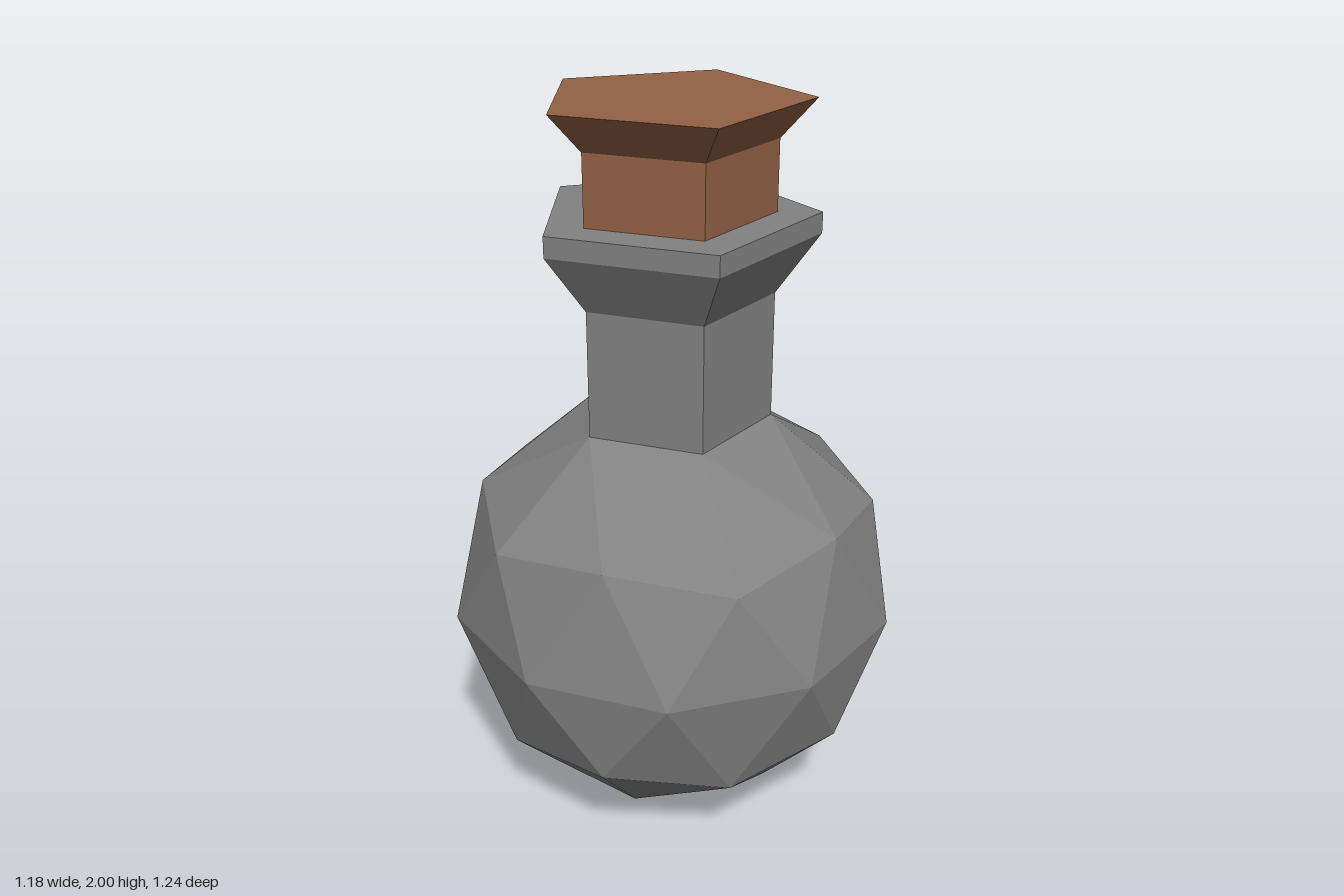
import * as THREE from 'three';

const glass = new THREE.MeshStandardMaterial({ color: 0x828282, flatShading: true });
const corkMaterial = new THREE.MeshStandardMaterial({ color: 0x936145, flatShading: true });

const R = 0.62;         // body radius
const CENTRE_Y = 0.62;  // body centre height
const NECK_R = 0.264;   // neck and cork radius at the corners
const NECK_Y = 1.155;   // where the neck meets the body

// Five-sided turned part with one corner towards +x; profile runs upwards
function pentagonLathe(name, profile, material) {
  const points = profile.map(([r, y]) => new THREE.Vector2(r, y));
  const mesh = new THREE.Mesh(new THREE.LatheGeometry(points, 5, Math.PI / 2), material);
  mesh.name = name;
  return mesh;
}

// Faceted ball standing on a vertex, opened at the top to fit the neck
function bodyGeometry() {
  const ball = new THREE.IcosahedronGeometry(R, 1);
  ball.rotateZ(-Math.atan(2 / (1 + Math.sqrt(5))));
  const source = ball.attributes.position;
  const positions = [];
  for (let i = 0; i < source.count; i += 3) {
    const face = [0, 1, 2].map(k => new THREE.Vector3().fromBufferAttribute(source, i + k));
    if (face.some(v => v.y > 0.95 * R)) continue; // opening under the neck
    for (const v of face) {
      if (v.y > 0.8 * R) { // top ring narrows to the neck
        const s = NECK_R / Math.hypot(v.x, v.z);
        v.set(v.x * s, NECK_Y - CENTRE_Y, v.z * s);
      }
      positions.push(v.x, v.y + CENTRE_Y, v.z);
    }
  }
  const geometry = new THREE.BufferGeometry();
  geometry.setAttribute('position', new THREE.Float32BufferAttribute(positions, 3));
  geometry.computeVertexNormals();
  return geometry;
}

export function createModel() {
  const bottle = new THREE.Group();
  bottle.name = 'bottle';

  const body = new THREE.Mesh(bodyGeometry(), glass);
  body.name = 'body';

  // Straight neck flaring into a flat-topped lip
  const neck = pentagonLathe('neck', [
    [NECK_R, NECK_Y], [NECK_R, 1.5], [0.378, 1.66], [0.378, 1.715], [NECK_R, 1.715],
  ], glass);

  // Stopper with a flared head
  const cork = pentagonLathe('cork', [
    [NECK_R, 1.715], [NECK_R, 1.9], [0.355, 2], [0, 2],
  ], corkMaterial);

  bottle.add(body, neck, cork);
  return bottle;
}
